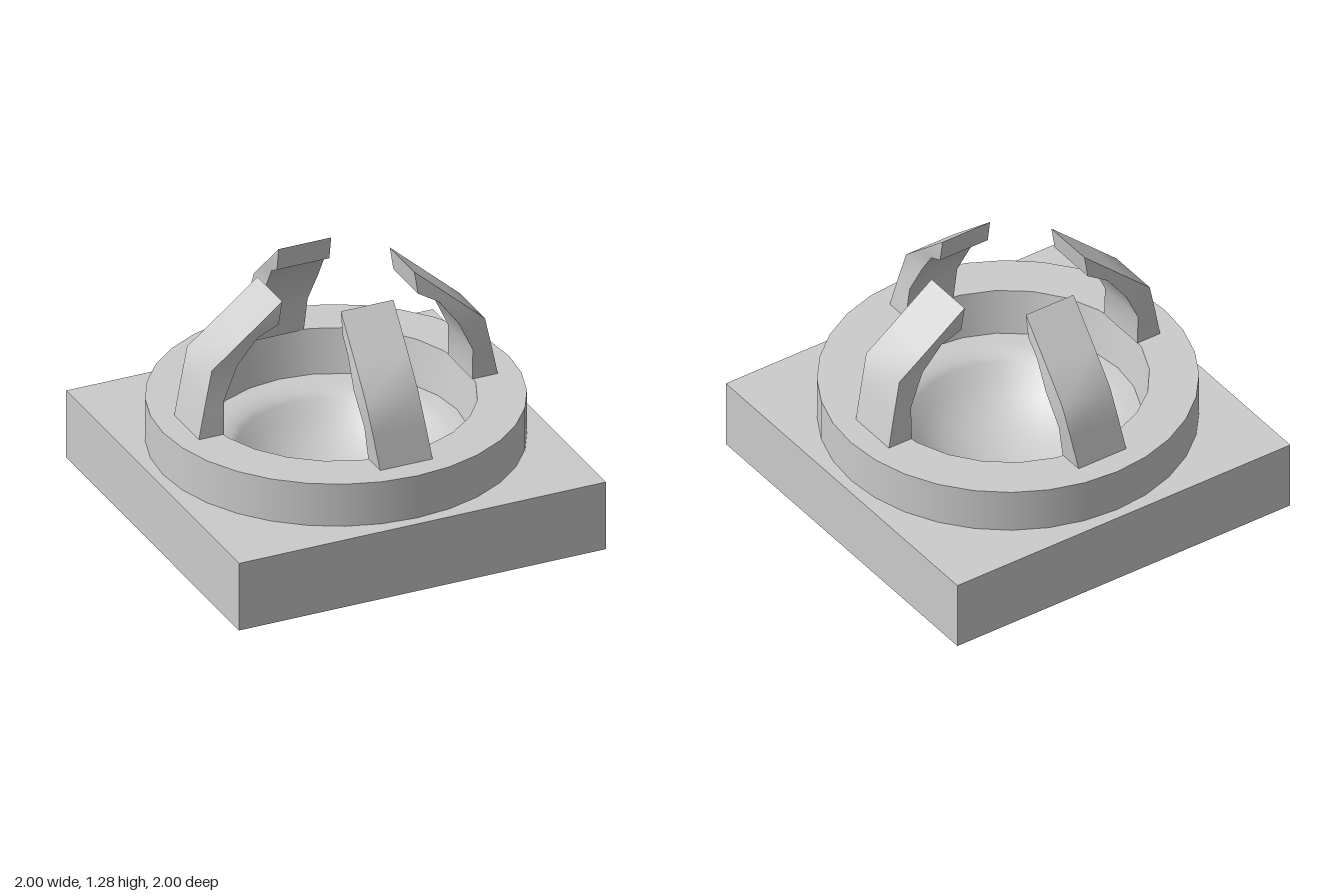
import * as THREE from 'three';
import { mergeGeometries, toCreasedNormals } from 'three/addons/utils/BufferGeometryUtils.js';

const BASE_TOP = 0.375, RIM_TOP = 0.61;
const RIM_R = 0.943, HOLE_R = 0.7, LEDGE_R = 0.66;
const material = new THREE.MeshStandardMaterial({ color: 0xcccccc });
const doubleSided = new THREE.MeshStandardMaterial({ color: 0xcccccc, side: THREE.DoubleSide });

function addMesh(parent, name, geometry, mat = material) {
  const mesh = new THREE.Mesh(geometry, mat);
  mesh.name = name;
  parent.add(mesh);
  return mesh;
}

function ringPoints(radius, sides) {
  return Array.from({ length: sides }, (_, i) => {
    const a = (i / sides) * Math.PI * 2;
    return new THREE.Vector2(Math.cos(a) * radius, Math.sin(a) * radius);
  });
}

// Horizontal plate with a 24-sided hole, facing up
function holedPlate(outline, holeRadius, y) {
  const shape = new THREE.Shape(outline);
  shape.holes.push(new THREE.Path(ringPoints(holeRadius, 24)));
  return new THREE.ShapeGeometry(shape).rotateX(-Math.PI / 2).translate(0, y, 0);
}

const lathe = (points) =>
  new THREE.LatheGeometry(points.map(([x, y]) => new THREE.Vector2(x, y)), 24).rotateY(Math.PI / 2);

// Curved claw at +z, bent sideways at its middle; built from rectangular sections
function clawGeometry() {
  // outer z, outer y, inner z, inner y, sideways shift
  const sections = [
    [0.815, 0.61, 0.677, 0.61, 0],
    [0.772, 0.785, 0.67, 0.785, -0.018],
    [0.727, 0.957, 0.588, 0.955, -0.037],
    [0.57, 1.095, 0.485, 1.095, -0.02],
    [0.36, 1.28, 0.38, 1.155, 0],
  ];
  const half = 0.143, positions = [], index = [];
  for (const [oz, oy, iz, iy, s] of sections) {
    positions.push(s - half, oy, oz, s + half, oy, oz, s + half, iy, iz, s - half, iy, iz);
  }
  for (let i = 0; i < sections.length - 1; i++) {
    for (let k = 0; k < 4; k++) {
      const a = i * 4 + k, b = i * 4 + ((k + 1) % 4);
      index.push(a, b, b + 4, a, b + 4, a + 4);
    }
  }
  const e = (sections.length - 1) * 4;
  index.push(e, e + 1, e + 2, e, e + 2, e + 3, 0, 2, 1, 0, 3, 2);
  const geometry = new THREE.BufferGeometry();
  geometry.setAttribute('position', new THREE.Float32BufferAttribute(positions, 3));
  geometry.setIndex(index);
  return toCreasedNormals(geometry, THREE.MathUtils.degToRad(45));
}

export function createModel() {
  const model = new THREE.Group();
  model.name = 'clawedBasin';

  // Square base, open in the middle for the bowl
  const corners = [[-1, -1], [1, -1], [1, 1], [-1, 1]].map(([x, y]) => new THREE.Vector2(x, y));
  const parts = [holedPlate(corners, LEDGE_R, BASE_TOP)];
  parts.push(new THREE.PlaneGeometry(2, 2).rotateX(Math.PI / 2));
  for (let i = 0; i < 4; i++) {
    parts.push(new THREE.PlaneGeometry(2, BASE_TOP)
      .translate(0, BASE_TOP / 2, 1).rotateY((i * Math.PI) / 2));
  }
  addMesh(model, 'base', mergeGeometries(parts));

  // Round rim
  const rim = new THREE.Group();
  rim.name = 'rim';
  model.add(rim);
  addMesh(rim, 'rimOuterWall',
    new THREE.CylinderGeometry(RIM_R, RIM_R, RIM_TOP - BASE_TOP, 32, 1, true)
      .translate(0, (RIM_TOP + BASE_TOP) / 2, 0));
  addMesh(rim, 'rimTop', holedPlate(ringPoints(RIM_R, 32), HOLE_R, RIM_TOP));
  addMesh(rim, 'rimInnerWall', lathe([[HOLE_R, RIM_TOP], [LEDGE_R, BASE_TOP]]), doubleSided);

  // Ledge rolling over into the sunken bowl
  const profile = [[LEDGE_R, BASE_TOP], [0.58, 0.372], [0.52, 0.355]];
  const bowlR = 0.49, depth = 0.23, bottom = 0.1;
  const sphereR = (bowlR * bowlR + depth * depth) / (2 * depth);
  for (let i = 0; i <= 8; i++) {
    const r = bowlR * (1 - i / 8);
    profile.push([r, bottom + sphereR - Math.sqrt(sphereR * sphereR - r * r)]);
  }
  addMesh(model, 'bowl', lathe(profile), doubleSided);

  // Four claws around the rim
  const claw = clawGeometry();
  ['frontClaw', 'leftClaw', 'backClaw', 'rightClaw'].forEach((name, i) => {
    addMesh(model, name, claw).rotation.y = (i * Math.PI) / 2;
  });
  return model;
}
